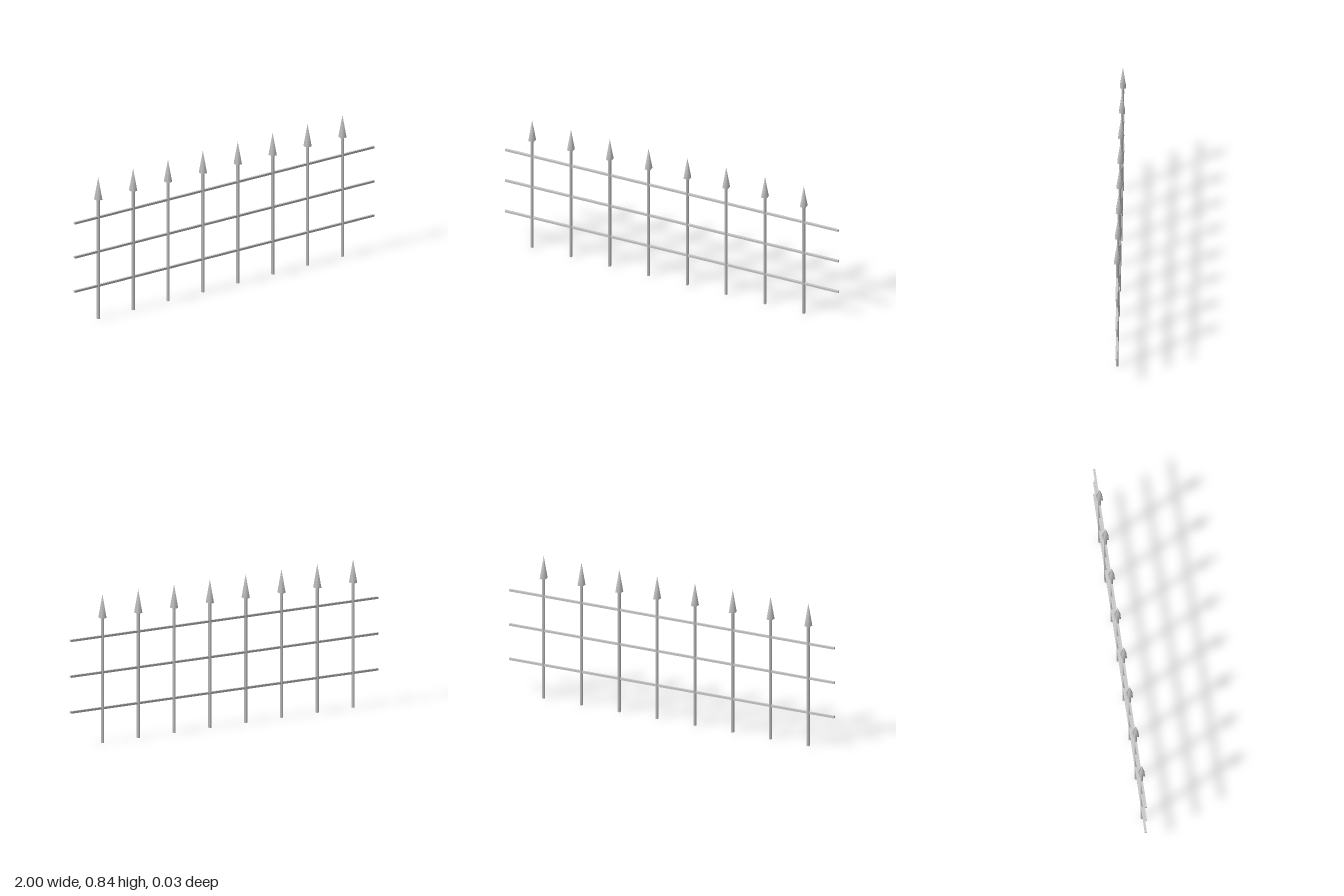
import * as THREE from 'three';

export function createModel() {
  const group = new THREE.Group();
  group.name = 'spikedFence';
  const material = new THREE.MeshStandardMaterial({ color: 0xcccccc });

  // Half widths of the square bars
  const shaft = 0.0065, head = 0.0165, rail = 0.006;

  // Square-section picket: a four-sided lathe needs corner radii
  const profile = [[shaft, 0], [shaft, 0.7], [head, 0.705], [0, 0.838]]
    .map(([halfWidth, y]) => new THREE.Vector2(halfWidth * Math.SQRT2, y));
  const picketGeometry = new THREE.LatheGeometry(profile, 4, Math.PI / 4);
  const footGeometry = new THREE.PlaneGeometry(shaft * 2, shaft * 2).rotateX(Math.PI / 2);

  // Eight evenly spaced pickets with spear tips
  for (let i = 0; i < 8; i++) {
    const picket = new THREE.Group();
    picket.name = `picket${i + 1}`;
    const bar = new THREE.Mesh(picketGeometry, material);
    bar.name = 'spearBar';
    const foot = new THREE.Mesh(footGeometry, material);
    foot.name = 'footCap';
    picket.add(bar, foot);
    picket.position.x = -0.84 + i * 0.233;
    group.add(picket);
  }

  // Three horizontal rails
  const railGeometry = new THREE.BoxGeometry(2, rail * 2, rail * 2);
  [0.196, 0.398, 0.6].forEach((y, i) => {
    const mesh = new THREE.Mesh(railGeometry, material);
    mesh.name = `rail${i + 1}`;
    mesh.position.y = y;
    group.add(mesh);
  });

  return group;
}
